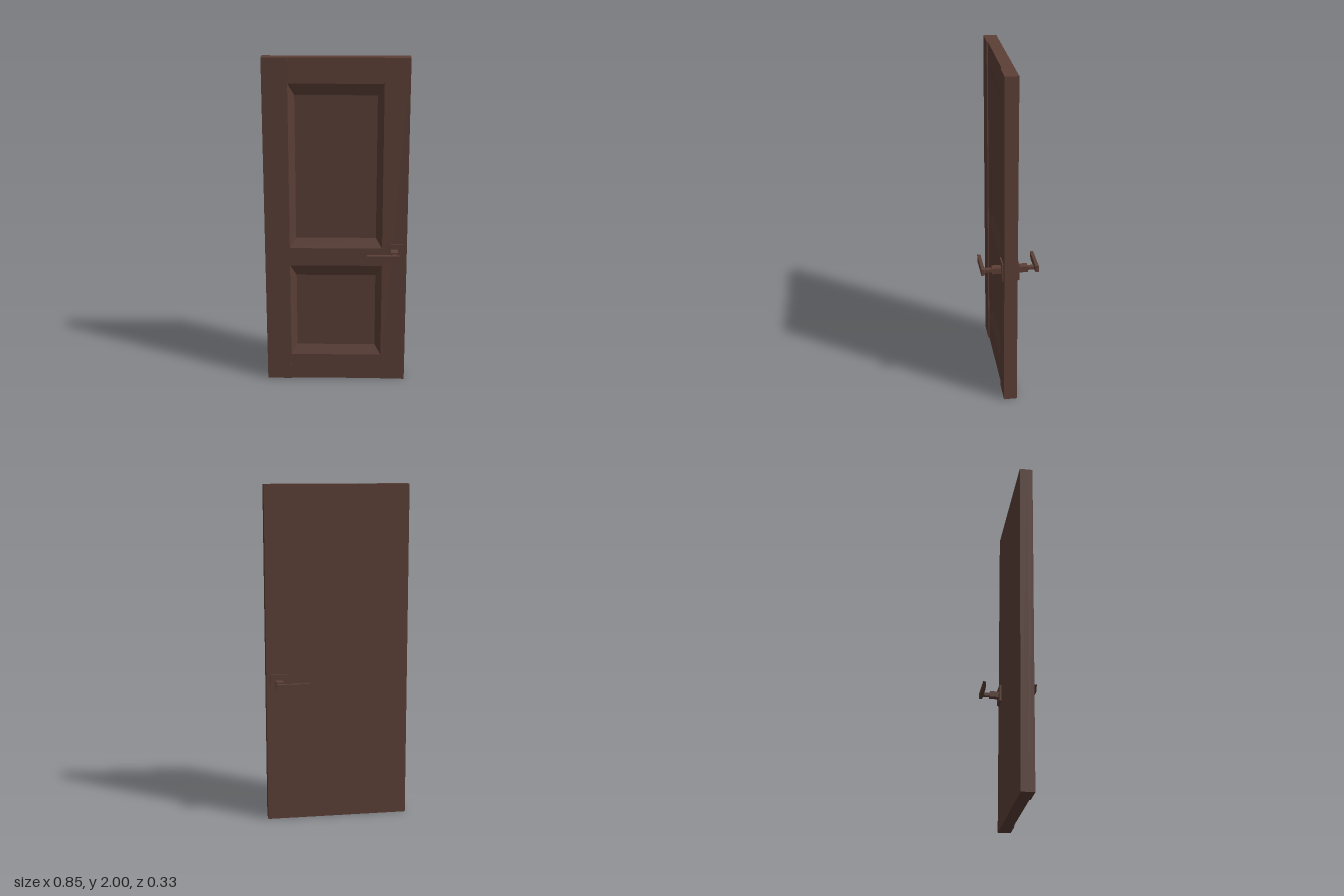
import * as THREE from 'three';

const brown = new THREE.MeshStandardMaterial({ color: 0x5d4037 });

export function createModel() {
  const door = new THREE.Group();
  door.name = 'door';

  const add = (name, geometry, parent = door) => {
    const mesh = new THREE.Mesh(geometry, brown);
    mesh.name = name;
    parent.add(mesh);
    return mesh;
  };
  // Box given by its limits on each axis
  const box = (name, [x0, x1], [y0, y1], [z0, z1], parent) =>
    add(name, new THREE.BoxGeometry(x1 - x0, y1 - y0, z1 - z0), parent)
      .position.set((x0 + x1) / 2, (y0 + y1) / 2, (z0 + z1) / 2);

  const W = 0.4225, P = 0.275;                          // half widths of door and panels
  const back = -0.036, floor = 0.01, rail = 0.034, stile = 0.041;
  const panels = [[0.162, 0.752], [0.862, 1.852]];

  // Slab, whose front is the floor of the panels
  box('slab', [-W, W], [0, 2], [back, floor]);
  box('leftStile', [P, W], [0, 2], [floor, stile]);
  box('rightStile', [-W, -P], [0, 2], [floor, stile]);
  box('bottomRail', [-P, P], [0, panels[0][0]], [floor, rail]);
  box('middleRail', [-P, P], [panels[0][1], panels[1][0]], [floor, rail]);
  box('topRail', [-P, P], [panels[1][1], 2], [floor, rail]);

  // Sloped moulding around each sunken panel
  for (const [y0, y1] of panels) {
    const ring = (x, a, b, z) => [[-x, a, z], [x, a, z], [x, b, z], [-x, b, z]];
    const outer = ring(P, y0, y1, rail);
    const inner = ring(P - 0.037, y0 + 0.06, y1 - 0.07, floor + 0.0005);
    const points = [];
    for (let i = 0; i < 4; i++) {
      const j = (i + 1) % 4;
      points.push(...outer[i], ...outer[j], ...inner[j], ...outer[i], ...inner[j], ...inner[i]);
    }
    const geometry = new THREE.BufferGeometry();
    geometry.setAttribute('position', new THREE.Float32BufferAttribute(points, 3));
    geometry.computeVertexNormals();
    add('panelMoulding', geometry);
  }

  // Handle: plate, hub, neck, flare and a lever with a slanted end
  const cx = 0.348, cy = 0.844;
  for (const side of [1, -1]) {
    const handle = new THREE.Group();
    handle.name = side > 0 ? 'frontHandle' : 'backHandle';
    const block = (name, w, h, z0, z1) => {
      const z = side > 0 ? [z0, z1] : [-z1, -z0];
      box(name, [cx - w / 2, cx + w / 2], [cy - h / 2, cy + h / 2], z, handle);
    };
    block('plate', 0.098, 0.104, 0.03, 0.049);
    block('hub', 0.042, 0.036, 0.049, 0.103);
    block('neck', 0.026, 0.018, 0.103, 0.142);

    const flare = new THREE.CylinderGeometry(0.025 * Math.SQRT2, 0.013 * Math.SQRT2, 0.005, 4, 1)
      .rotateY(Math.PI / 4).scale(1, 1, 0.7).rotateX(side * Math.PI / 2);
    flare.deleteAttribute('normal');
    const flatFlare = flare.toNonIndexed();
    flatFlare.computeVertexNormals();
    add('flare', flatFlare, handle).position.set(cx, cy, side * 0.1435);

    const outline = new THREE.Shape([[0.183, 0.863], [0.207, 0.825], [0.376, 0.825], [0.376, 0.863]]
      .map(([x, y]) => new THREE.Vector2(x, y)));
    const lever = new THREE.ExtrudeGeometry(outline, { depth: 0.019, bevelEnabled: false });
    add('lever', lever, handle).position.z = side > 0 ? 0.146 : -0.165;
    door.add(handle);
  }
  return door;
}
